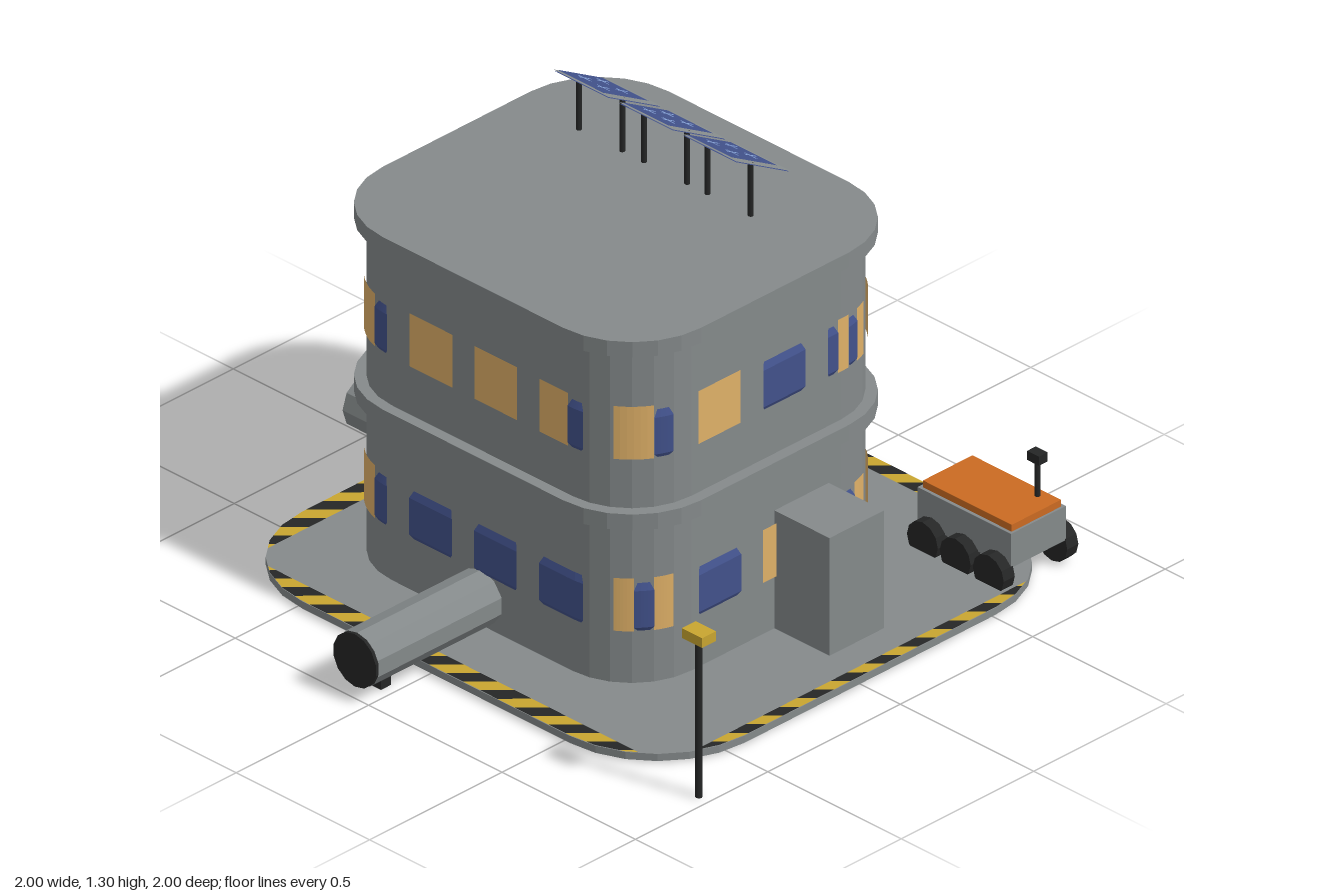
import * as THREE from 'three';

const paint = (name, color, side = THREE.FrontSide) => {
  const m = new THREE.MeshStandardMaterial({ color, side });
  m.name = name;
  return m;
};

export function createModel() {
  const root = new THREE.Group();
  root.name = 'outpost';
  const grey = paint('concrete grey', 0x858a8b);
  const black = paint('black', 0x252626);
  const yellow = paint('hazard yellow', 0xc9a630);
  const amber = paint('lit amber', 0xe0b168, THREE.DoubleSide);
  const blue = paint('glass blue', 0x42528c, THREE.DoubleSide);
  const pale = paint('cell line blue', 0x86a4d8, THREE.DoubleSide);
  const orange = paint('rover orange', 0xcb6b22);
  const frameGrey = paint('frame grey', 0x8b9090, THREE.DoubleSide);

  const add = (name, geo, mat, x = 0, y = 0, z = 0, parent = root) => {
    const m = new THREE.Mesh(geo, mat);
    m.name = name;
    m.position.set(x, y, z);
    parent.add(m);
    return m;
  };
  // box given by its limits
  const box = (name, mat, x0, x1, y0, y1, z0, z1) =>
    add(name, new THREE.BoxGeometry(x1 - x0, y1 - y0, z1 - z0), mat, (x0 + x1) / 2, (y0 + y1) / 2, (z0 + z1) / 2);
  const post = (name, r, x, y0, y1, z) =>
    add(name, new THREE.CylinderGeometry(r, r, y1 - y0, 8), black, x, (y0 + y1) / 2, z);

  // rounded rectangle as a convex loop of points
  const outline = (w, d, r, cx = 0, cy = 0, seg = 6) => {
    const pts = [];
    for (let q = 0; q < 4; q++) {
      const sx = q === 0 || q === 3 ? 1 : -1, sy = q < 2 ? 1 : -1;
      for (let i = 0; i <= seg; i++) {
        const t = (q + i / seg) * Math.PI / 2;
        pts.push(new THREE.Vector2(cx + sx * (w / 2 - r) + r * Math.cos(t), cy + sy * (d / 2 - r) + r * Math.sin(t)));
      }
    }
    return pts;
  };
  const slab = (name, w, d, r, x, z, y0, y1) => {
    const geo = new THREE.ExtrudeGeometry(new THREE.Shape(outline(w, d, r)), { depth: y1 - y0, bevelEnabled: false });
    return add(name, geo.rotateX(-Math.PI / 2), grey, x, y0, z);
  };

  // landing plate and two storeys with their ledges
  slab('basePlate', 1.662, 1.608, 0.33, 0.024, -0.034, 0.005, 0.027);
  const CX = -0.05, CZ = 0.016, W = 1.127, D = 1.013, R = 0.225;
  slab('walls', W, D, R, CX, CZ, 0.027, 1.06);
  slab('middleLedge', W + 0.07, D + 0.066, R + 0.035, CX, CZ, 0.517, 0.566);
  slab('roofLedge', W + 0.07, D + 0.066, R + 0.035, CX, CZ, 1.051, 1.098);

  // hazard stripes: plate outline clipped to each border and each diagonal band
  const clip = (pts, a, b, c) => {
    const out = [];
    pts.forEach((p, i) => {
      const q = pts[(i + 1) % pts.length];
      const dp = a * p.x + b * p.y - c, dq = a * q.x + b * q.y - c;
      if (dp >= 0) out.push(p);
      if (dp * dq < 0) out.push(p.clone().lerp(q, dp / (dp - dq)));
    });
    return out;
  };
  const plate = outline(1.662, 1.608, 0.33, 0.024, 0.034);
  const borders = [[-1, 0, 0.737], [0, -1, 0.705], [1, 0, 0.817], [0, 1, 0.785]];
  borders.forEach(([a, b, c], side) => {
    const edge = clip(plate, a, b, c);
    for (let k = -28; k < 28; k++) {
      const s = k * 0.064;
      const band = clip(clip(edge, 1, -1, s), -1, 1, -(s + 0.064));
      if (band.length < 3) continue;
      const mat = k % 2 ? black : yellow;
      const geo = new THREE.ShapeGeometry(new THREE.Shape(band));
      add('hazardStripe', geo.clone().rotateX(-Math.PI / 2), mat, 0, 0.029, 0);
      if (side < 2) {
        const under = new THREE.ShapeGeometry(new THREE.Shape(band.map(p => new THREE.Vector2(p.x, -p.y))));
        add('hazardStripeUnder', under.rotateX(Math.PI / 2), mat, 0, 0.003, 0);
      }
    }
  });

  // point on the wall at distance s round the perimeter from the front centre
  const hx = W / 2 - R, hz = D / 2 - R, arc = R * Math.PI / 2;
  const perimeter = 4 * (hx + hz + arc);
  const wallPoint = (s, off) => {
    s = (((s + hx) % perimeter) + perimeter) % perimeter;
    let q = 0;
    const len = i => (i % 2 ? 2 * hz : 2 * hx);
    while (s > len(q) + arc) s -= len(q++) + arc;
    const half = len(q) / 2, out = (q % 2 ? hx : hz) + R;
    const t = Math.max(0, s - 2 * half) / R;
    const u = Math.min(s, 2 * half) - half + (R + off) * Math.sin(t);
    const v = out - R + (R + off) * Math.cos(t);
    const a = q * Math.PI / 2;
    return [CX + u * Math.cos(a) + v * Math.sin(a), CZ - u * Math.sin(a) + v * Math.cos(a)];
  };
  // panel following the wall; rows are [height, side inset, stand-off]
  const panel = (name, mat, s0, s1, rows) => {
    const pos = [], idx = [], n = 6;
    rows.forEach(([y, inset, off]) => {
      for (let i = 0; i <= n; i++) {
        const [x, z] = wallPoint(s0 + inset + (s1 - s0 - 2 * inset) * i / n, off);
        pos.push(x, y, z);
      }
    });
    for (let j = 0; j < rows.length - 1; j++) for (let i = 0; i < n; i++) {
      const a = j * (n + 1) + i, b = a + n + 1;
      idx.push(a, a + 1, b + 1, a, b + 1, b);
    }
    let geo = new THREE.BufferGeometry();
    geo.setAttribute('position', new THREE.Float32BufferAttribute(pos, 3));
    geo.setIndex(idx);
    geo = geo.toNonIndexed();
    geo.computeVertexNormals();
    add(name, geo, mat);
  };

  // windows, from the front left corner round; A is lit, B is dark glass
  const floors = [
    [0.19, ['AAB', 'B', 'B', 'B', 'ABA', 'B', 'A', 'BBA', 'A', 'B', 'B', 'B', 'A', 'A', 'A', 'AAB']],
    [0.72, ['AAB', 'A', 'A', 'AAB', 'AAB', 'A', 'B', 'BABA', 'ABA', 'A', 'B', 'B', 'AAB', 'A', 'A', 'A']],
  ];
  for (const [y, codes] of floors) codes.forEach((code, k) => {
    let s = 0.06 + (k - 2) * perimeter / 16 - 0.08;
    for (const run of code.match(/A+|B+/g)) {
      const w = 0.16 * run.length / code.length;
      if (run[0] === 'A') panel('litWindow', amber, s, s + w, [[y, 0, 0.007], [y + 0.163, 0, 0.007]]);
      else panel('darkWindow', blue, s, s + w,
        [[y, 0.01, 0.003], [y + 0.012, 0, 0.009], [y + 0.125, 0, 0.009], [y + 0.146, 0.01, 0.001]]);
      s += w;
    }
  });

  // entrance block
  box('airlock', grey, 0.48, 0.72, 0.027, 0.39, -0.22, -0.015);

  // connecting tunnels on the front and the -x side
  const tube = (r, len, n) => new THREE.CylinderGeometry(r, r, len, n).toNonIndexed();
  const flat = g => { g.computeVertexNormals(); return g; };
  add('frontTunnel', flat(tube(0.081, 0.5, 10).rotateX(Math.PI / 2)), grey, -0.052, 0.117, 0.74);
  add('frontTunnelCap', flat(tube(0.081, 0.01, 14).rotateX(Math.PI / 2)), black, -0.052, 0.117, 0.995);
  add('sideTunnel', flat(tube(0.081, 0.42, 10).rotateZ(Math.PI / 2)), grey, -0.79, 0.117, 0.01);
  box('tunnelFoot', black, -0.071, -0.033, 0, 0.05, 0.882, 0.92);

  // lamp posts
  for (const [x, z] of [[-0.737, -0.973], [0.962, 0.722]]) {
    post('lampPost', 0.01, x, 0, 0.487, z);
    box('lampHead', yellow, x - 0.038, x + 0.038, 0.485, 0.515, z - 0.026, z + 0.026);
  }

  // tilted solar panels on the roof
  const tilt = Math.atan2(0.115, 0.205);
  [-0.336, -0.093, 0.145].forEach(x => {
    const g = new THREE.Group();
    g.name = 'solarPanel';
    g.position.set(x, 1.247, -0.2425);
    g.rotation.x = -tilt;
    root.add(g);
    const plane = (name, mat, w, d, px, py, pz) =>
      add(name, new THREE.PlaneGeometry(w, d).rotateX(-Math.PI / 2), mat, px, py, pz, g);
    plane('panelFrame', frameGrey, 0.205, 0.235, 0, 0, 0);
    plane('panelCells', blue, 0.172, 0.196, -0.008, 0.003, 0.014);
    plane('panelUnderside', blue, 0.2, 0.23, 0, -0.003, 0);
    for (const i of [-1, 1]) for (const j of [-1, 1]) {
      plane('cellLine', pale, 0.046, 0.008, -0.008 + i * 0.036, 0.005, 0.014 + j * 0.04);
      plane('cellLine', pale, 0.008, 0.05, -0.008 + i * 0.036, 0.006, 0.014 + j * 0.04);
    }
    for (const i of [-1, 1]) post('panelLeg', 0.008, x + i * 0.081, 1.09, 1.259, -0.215);
  });

  // six-wheeled rover
  box('roverBody', grey, 0.457, 0.807, 0.085, 0.19, -0.82, -0.612);
  box('roverDeck', orange, 0.468, 0.8, 0.19, 0.211, -0.808, -0.622);
  for (const x of [0.51, 0.633, 0.757]) for (const z of [-0.838, -0.598])
    add('roverWheel', flat(tube(0.058, 0.042, 12).rotateX(Math.PI / 2)), black, x, 0.06, z);
  post('roverMast', 0.008, 0.74, 0.2, 0.33, -0.78);
  box('roverCamera', black, 0.717, 0.761, 0.318, 0.346, -0.797, -0.764);
  return root;
}
